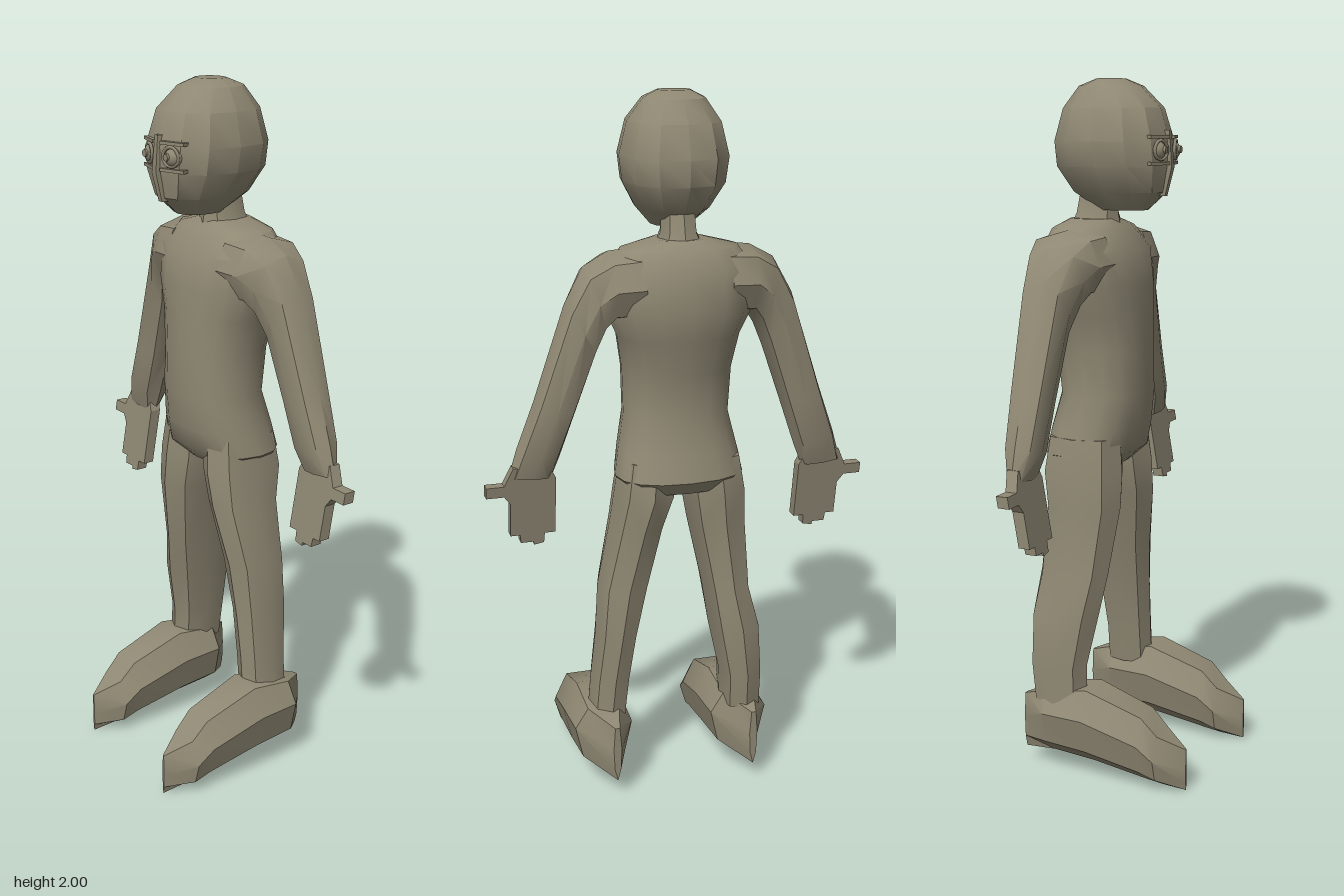
import * as THREE from 'three';
import { toCreasedNormals, mergeVertices } from 'three/addons/utils/BufferGeometryUtils.js';

const clay = new THREE.MeshStandardMaterial({ color: 0x8f8873 });
clay.name = 'clay';

// Skin a list of equal-length rings of points, cap both ends, face outwards.
function loft(rings, crease = 0.7) {
  const n = rings[0].length, pos = [], idx = [];
  rings.forEach(r => r.forEach(p => pos.push(...p)));
  for (let i = 0; i < rings.length - 1; i++) {
    for (let j = 0; j < n; j++) {
      const a = i * n + j, b = i * n + (j + 1) % n;
      idx.push(a, b, a + n, b, b + n, a + n);
    }
  }
  [0, rings.length - 1].forEach((r, k) => {
    const c = pos.length / 3;
    pos.push(...[0, 1, 2].map(d => rings[r].reduce((s, p) => s + p[d], 0) / n));
    for (let j = 0; j < n; j++) {
      const a = r * n + j, b = r * n + (j + 1) % n;
      if (k) idx.push(a, b, c); else idx.push(b, a, c);
    }
  });
  // signed volume decides the winding
  const v = i => new THREE.Vector3(pos[3 * i], pos[3 * i + 1], pos[3 * i + 2]);
  let vol = 0;
  for (let i = 0; i < idx.length; i += 3) vol += v(idx[i]).dot(v(idx[i + 1]).cross(v(idx[i + 2])));
  if (vol < 0) idx.reverse();
  const g = new THREE.BufferGeometry();
  g.setAttribute('position', new THREE.Float32BufferAttribute(pos, 3));
  g.setIndex(idx);
  return toCreasedNormals(g, crease);
}

// Rounded section between edge points A and B (in x, y), from zFront to zBack.
function section([xa, ya, xb, yb, zf, zb], n = 10, power = 0.85) {
  const soft = t => Math.sign(t) * Math.abs(t) ** power;
  return Array.from({ length: n }, (_, i) => {
    const a = i / n * Math.PI * 2, u = (1 + soft(Math.cos(a))) / 2, w = (1 + soft(Math.sin(a))) / 2;
    return [xa + (xb - xa) * u, ya + (yb - ya) * u, zb + (zf - zb) * w];
  });
}
const level = ([y, hw, zf, zb]) => [-hw, y, hw, y, zf, zb];

export function createModel() {
  const group = new THREE.Group();
  const add = (name, geo, x = 0, y = 0, z = 0) => {
    const m = new THREE.Mesh(geo, clay);
    m.name = name;
    m.position.set(x, y, z);
    group.add(m);
    return m;
  };

  // Head: y, half width, front, back
  add('head', loft([
    [2.0, 0.045, -0.03, -0.11], [1.98, 0.085, 0.02, -0.16], [1.92, 0.128, 0.08, -0.205],
    [1.83, 0.15, 0.108, -0.23], [1.76, 0.14, 0.11, -0.225], [1.69, 0.1, 0.095, -0.18],
    [1.64, 0.055, 0.04, -0.1],
  ].map(r => section(level(r), 12, 0.9)), 0.5));
  add('neck', loft([[1.72, 0.045, -0.05, -0.16], [1.63, 0.05, -0.05, -0.18], [1.58, 0.075, -0.04, -0.2]]
    .map(r => section(level(r), 8))));

  // Nose ridge
  add('nose', loft([[1.86, 0.012, 0.113, 0.06], [1.76, 0.018, 0.122, 0.06], [1.68, 0.014, 0.1, 0.06]]
    .map(r => section(level(r), 6))));

  // Eyes in square frames
  for (const x of [-0.045, 0.055]) {
    const turn = Math.sign(x) * 0.3;
    add('eyeball', new THREE.SphereGeometry(0.028, 14, 10), x, 1.805, 0.087);
    const rim = add('eyeRim', new THREE.TorusGeometry(0.026, 0.005, 6, 16), x, 1.807, 0.102);
    const pupil = add('pupil', new THREE.CylinderGeometry(0.01, 0.01, 0.008, 12), x, 1.807, 0.115);
    pupil.rotation.x = Math.PI / 2;
    rim.rotation.y = turn;
    for (const [y, name] of [[1.842, 'upperLid'], [1.77, 'lowerLid']]) {
      add(name, new THREE.BoxGeometry(0.08, 0.009, 0.03), x, y, 0.088).rotation.y = turn;
    }
  }

  // Torso: y, half width, front, back
  add('torso', loft([
    [1.615, 0.07, -0.055, -0.19], [1.592, 0.165, -0.035, -0.22], [1.53, 0.215, 0.015, -0.25],
    [1.43, 0.21, 0.028, -0.262], [1.35, 0.172, 0.035, -0.248], [1.25, 0.155, 0.038, -0.22],
    [1.12, 0.15, 0.042, -0.208], [1.02, 0.172, 0.028, -0.235], [0.95, 0.185, 0.012, -0.25],
    [0.91, 0.15, -0.03, -0.22],
  ].map(r => section(level(r), 16)), 0.7));

  // Legs: y, inner x, outer x, front, back
  const legs = {
    1: [[1.0, 0.01, 0.17, 0, -0.22], [0.9, 0.015, 0.187, 0.01, -0.235], [0.8, 0.045, 0.2, 0.005, -0.21],
      [0.62, 0.09, 0.24, -0.025, -0.2], [0.47, 0.127, 0.25, -0.035, -0.2], [0.33, 0.147, 0.265, -0.04, -0.185],
      [0.22, 0.16, 0.275, -0.04, -0.185]],
    '-1': [[1.0, 0.01, 0.18, 0, -0.22], [0.9, 0.01, 0.196, 0.01, -0.235], [0.8, 0.03, 0.2, 0.01, -0.22],
      [0.6, 0.07, 0.205, -0.02, -0.235], [0.48, 0.085, 0.235, -0.04, -0.25], [0.33, 0.115, 0.24, -0.07, -0.248],
      [0.22, 0.12, 0.24, -0.07, -0.235]],
  };

  // Feet with a keeled sole: z, half width, top, widest y, keel, centre shift
  const footRows = [
    [-0.255, 0.012, 0.22, 0.15, 0.05, -0.02], [-0.17, 0.085, 0.25, 0.19, 0.045, 0], [-0.04, 0.092, 0.27, 0.19, 0.035, 0],
    [0.13, 0.08, 0.215, 0.14, 0.01, 0], [0.18, 0.074, 0.165, 0.1, 0.004, 0], [0.255, 0.004, 0.125, 0.06, 0, 0],
  ];

  // Arms: lower edge point, upper edge point, front, back
  const armRows = [
    [0.12, 1.4, 0.12, 1.595, 0, -0.24], [0.195, 1.4, 0.2, 1.588, -0.01, -0.235],
    [0.215, 1.37, 0.27, 1.55, -0.035, -0.215], [0.24, 1.31, 0.325, 1.45, -0.06, -0.205],
    [0.3, 1.15, 0.415, 1.19, -0.075, -0.195], [0.345, 1.03, 0.465, 1.06, -0.082, -0.185],
    [0.37, 0.97, 0.49, 0.98, -0.105, -0.16],
  ];

  // Hand outline with finger steps and a thumb
  const outline = [
    [0.375, 1.0], [0.36, 0.97], [0.36, 0.8], [0.39, 0.8], [0.392, 0.77], [0.42, 0.765], [0.422, 0.775],
    [0.458, 0.775], [0.46, 0.8], [0.487, 0.8], [0.487, 0.9], [0.505, 0.925], [0.555, 0.925], [0.555, 0.957],
    [0.505, 0.957], [0.48, 1.01],
  ].map(p => new THREE.Vector2(...p));

  for (const s of [1, -1]) {
    const side = s > 0 ? 'left' : 'right';
    // the right arm hangs a little lower
    const drop = y => (s > 0 ? 0 : 0.035 * THREE.MathUtils.clamp((1.4 - y) / 0.4, 0, 1));

    add(side + 'Leg', loft(legs[s].map(([y, a, b, f, k]) => section([s * a, y, s * b, y, f, k], 8))));

    const cx = s > 0 ? 0.238 : -0.172, dz = s > 0 ? 0.01 : -0.01;
    add(side + 'Foot', loft(footRows.map(([z, w, t, m, k, dx]) => [
      [-0.55 * w, t], [0.55 * w, t], [w, m], [0.75 * w, k + (m - k) * 0.35], [0, k], [-0.75 * w, k + (m - k) * 0.35], [-w, m],
    ].map(([x, y]) => [cx + dx + x, y, z + dz])), 0.5));

    add(side + 'Arm', loft(armRows.map(([xa, ya, xb, yb, f, k]) =>
      section([s * xa, ya - drop(ya), s * xb, yb - drop(yb), f, k], 8))));

    const shape = new THREE.Shape(outline.map(p => new THREE.Vector2(s * p.x, p.y - drop(p.y))));
    const hand = new THREE.ExtrudeGeometry(shape, { depth: 0.034, bevelEnabled: false });
    const p = hand.attributes.position;
    // lean the palm forward towards the fingertips
    for (let i = 0; i < p.count; i++) p.setZ(i, p.getZ(i) - 0.115 - 0.17 * (p.getY(i) - 0.77));
    hand.computeVertexNormals();
    add(side + 'Hand', hand);
  }
  return group;
}
